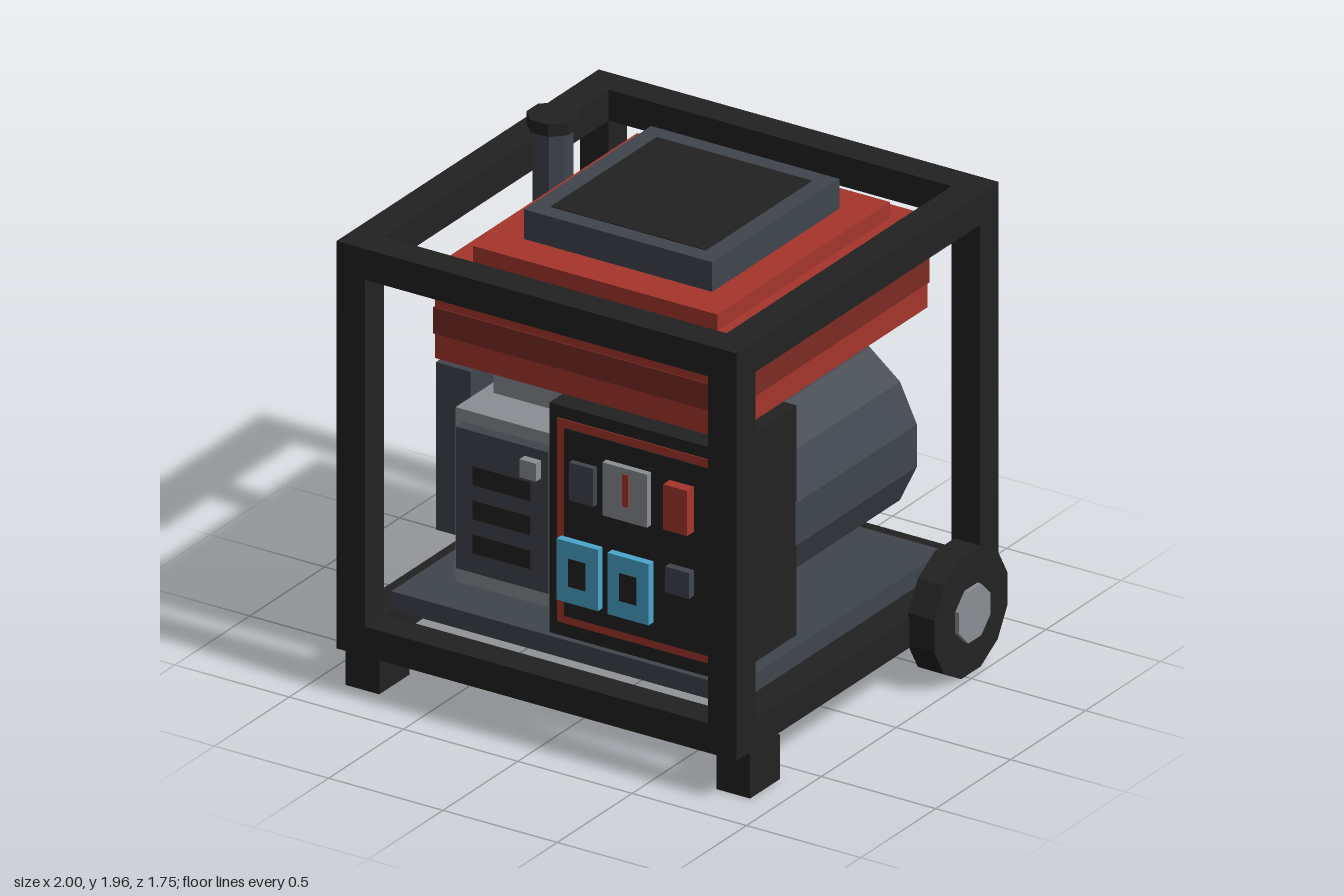
import * as THREE from 'three';

const mat = (name, color) => {
  const m = new THREE.MeshStandardMaterial({ color, flatShading: true });
  m.name = name;
  return m;
};

export function createModel() {
  const black = mat('black', 0x222222);
  const slate = mat('slate grey', 0x40454d);
  const silver = mat('light grey', 0x8b8e93);
  const red = mat('red', 0xa6352c);
  const darkRed = mat('dark red', 0x7c2b23);
  const blue = mat('blue', 0x4aa6cd);

  const root = new THREE.Group();
  root.name = 'generator';
  const group = (name) => {
    const g = new THREE.Group();
    g.name = name;
    root.add(g);
    return g;
  };
  // box from its minimum and maximum on each axis
  const box = (parent, name, m, [x0, x1], [y0, y1], [z0, z1]) => {
    const mesh = new THREE.Mesh(new THREE.BoxGeometry(x1 - x0, y1 - y0, z1 - z0), m);
    mesh.position.set((x0 + x1) / 2, (y0 + y1) / 2, (z0 + z1) / 2);
    mesh.name = name;
    parent.add(mesh);
    return mesh;
  };
  // cylinder along an axis, turned half a side when flats should face the axes
  const cyl = (parent, name, m, axis, r, length, sides, pos, flat = false) => {
    const g = new THREE.CylinderGeometry(r, r, length, sides);
    if (flat) g.rotateY(Math.PI / sides);
    if (axis === 'x') g.rotateZ(Math.PI / 2);
    if (axis === 'z') g.rotateX(Math.PI / 2);
    const mesh = new THREE.Mesh(g, m);
    mesh.position.set(...pos);
    mesh.name = name;
    parent.add(mesh);
    return mesh;
  };

  // cage of square tubes
  const frame = group('frame');
  const O = 0.875, I = 0.75;
  for (const s of [-1, 1]) {
    const side = s < 0 ? [-O, -I] : [I, O];
    for (const y of [[0.18, 0.3], [1.705, 1.83]]) {
      box(frame, 'sideRail', black, side, y, [-O, O]);
      box(frame, 'crossRail', black, [-I, I], y, side);
    }
    for (const z of [[-O, -I], [I, O]]) box(frame, 'post', black, side, [0.3, 1.705], z);
    // front feet and rear wheels
    box(frame, 'frontFoot', black, s < 0 ? [-0.885, -0.737] : [0.737, 0.885], [0, 0.18], [0.6, 0.8]);
    cyl(frame, 'wheel', black, 'x', 0.253, 0.115, 12, [s * 0.925, 0.253, -0.525], true);
    cyl(frame, 'hub', silver, 'x', 0.113, 0.13, 8, [s * 0.935, 0.253, -0.525], true);
  }
  box(frame, 'basePlate', slate, [-0.75, 0.75], [0.3, 0.375], [-0.7, 0.7]);

  // fuel tank with seam band, step and lid
  const tank = group('fuelTank');
  box(tank, 'tankBody', red, [-0.575, 0.695], [1.355, 1.73], [-0.675, 0.675]);
  box(tank, 'tankBand', darkRed, [-0.58, 0.7], [1.455, 1.562], [-0.68, 0.68]);
  box(tank, 'tankStep', red, [-0.475, 0.595], [1.73, 1.795], [-0.575, 0.575]);
  box(tank, 'lid', slate, [-0.352, 0.472], [1.795, 1.915], [-0.427, 0.423]);
  box(tank, 'lidInset', black, [-0.28, 0.398], [1.913, 1.918], [-0.355, 0.352]);

  // control box and panel
  const panel = group('controlPanel');
  box(panel, 'controlBox', black, [-0.075, 0.695], [0.375, 1.305], [0.2, 0.675]);
  box(panel, 'panelBorder', red, [-0.038, 0.657], [0.43, 1.255], [0.673, 0.679]);
  box(panel, 'panelFace', black, [-0.006, 0.624], [0.462, 1.222], [0.676, 0.683]);
  box(panel, 'rockerSwitch', slate, [0.033, 0.138], [0.95, 1.103], [0.682, 0.708]);
  box(panel, 'meter', silver, [0.18, 0.375], [0.928, 1.143], [0.682, 0.71]);
  box(panel, 'meterNeedle', red, [0.27, 0.296], [0.99, 1.12], [0.709, 0.715]);
  box(panel, 'stopSwitch', red, [0.457, 0.562], [0.95, 1.133], [0.682, 0.728]);
  box(panel, 'breaker', slate, [0.457, 0.562], [0.69, 0.795], [0.682, 0.715]);
  for (const x of [0.073, 0.295]) {
    box(panel, 'outlet', blue, [x - 0.09, x + 0.09], [0.537, 0.785], [0.682, 0.715]);
    box(panel, 'outletSocket', black, [x - 0.037, x + 0.037], [0.605, 0.717], [0.714, 0.719]);
  }

  // alternator drum
  const alternator = group('alternator');
  cyl(alternator, 'drum', slate, 'z', 0.385, 0.81, 14, [0.322, 0.825, -0.195]);
  cyl(alternator, 'endCap', slate, 'z', 0.273, 0.07, 8, [0.322, 0.827, -0.625], true);

  // engine with recoil starter cover
  const engine = group('engine');
  box(engine, 'engineBlock', silver, [-0.6, -0.127], [0.375, 1.08], [-0.55, 0.5]);
  box(engine, 'cylinderHead', silver, [-0.55, -0.178], [1.08, 1.305], [-0.322, 0.322]);
  cyl(engine, 'fuelNeck', black, 'y', 0.073, 0.07, 6, [-0.363, 1.335, 0]);
  box(engine, 'starterCover', slate, [-0.565, -0.163], [0.457, 1.03], [0.49, 0.55]);
  for (const y of [0.577, 0.715, 0.853])
    box(engine, 'coverSlot', black, [-0.49, -0.238], [y - 0.038, y + 0.038], [0.548, 0.556]);
  box(engine, 'starterGrip', silver, [-0.265, -0.193], [0.917, 0.99], [0.548, 0.585]);

  // muffler, exhaust pipe and cap
  const exhaust = group('exhaust');
  box(exhaust, 'muffler', slate, [-0.752, -0.6], [0.505, 1.183], [-0.4, 0.4]);
  for (const z of [-0.285, -0.095, 0.095, 0.285])
    box(exhaust, 'mufflerSlot', black, [-0.756, -0.75], [0.6, 1.08], [z - 0.032, z + 0.032]);
  cyl(exhaust, 'exhaustPipe', slate, 'y', 0.076, 0.75, 8, [-0.665, 1.545, -0.25], true);
  cyl(exhaust, 'exhaustCap', black, 'y', 0.099, 0.05, 8, [-0.665, 1.93, -0.25], true);

  return root;
}
